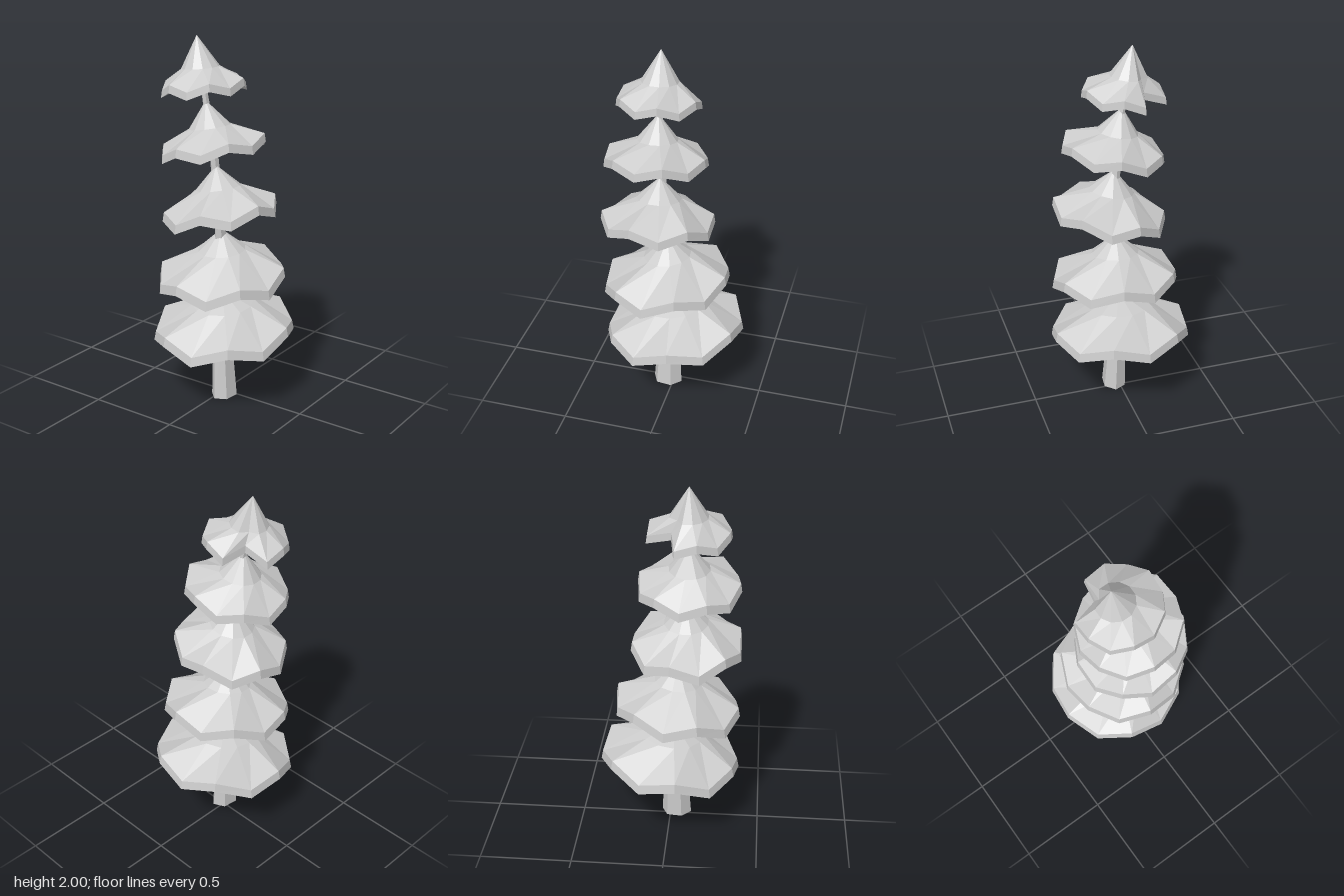
import * as THREE from 'three';

const V = (x, y, z) => new THREE.Vector3(x, y, z);

// Skins a list of rings (ordered top to bottom) with flat facets
function loft(name, rings) {
  const pos = [];
  const tri = (a, b, c) => {
    if (a.equals(b) || b.equals(c) || a.equals(c)) return; // collapsed at a tip
    for (const p of [a, b, c]) pos.push(p.x, p.y, p.z);
  };
  for (let r = 0; r + 1 < rings.length; r++) {
    const up = rings[r], low = rings[r + 1], n = up.length;
    for (let k = 0; k < n; k++) {
      const j = (k + 1) % n;
      tri(up[k], low[j], low[k]);
      tri(up[k], up[j], low[j]);
    }
  }
  const geo = new THREE.BufferGeometry();
  geo.setAttribute('position', new THREE.Float32BufferAttribute(pos, 3));
  geo.computeVertexNormals();
  const mesh = new THREE.Mesh(geo, new THREE.MeshStandardMaterial({ color: 0xcccccc, flatShading: true }));
  mesh.name = name;
  return mesh;
}

// n points from a rule taking the angle and index
const ring = (n, phase, rule) =>
  Array.from({ length: n }, (_, k) => rule(phase + (k / n) * Math.PI * 2, k));

// Tilted branch canopy: tip, shoulder ring, zigzag rim, thin lip, hollow underside
function canopy(name, t) {
  const n = 12, phase = THREE.MathUtils.degToRad(t.phase);
  const [cx, cz] = t.centre, [ax, ay, az] = t.tip;
  const tilt = (x, z) => t.tilt[0] * (x - cx) + t.tilt[1] * (z - cz);
  const rim = (scale, drop) => ring(n, phase, (a, k) => {
    const r = t.r * scale * (k === t.notch ? 0.53 : 1);
    const x = cx + r * Math.cos(a), z = cz + r * Math.sin(a);
    const wave = (k % 2 ? -1 : 1) * t.wave;
    return V(x, t.rimY - drop + tilt(x, z) + wave, z);
  });
  const shoulder = ring(n, phase, (a, k) => {
    const r = t.shoulder[0] * (k === t.notch ? 0.75 : 1);
    const x = (cx + ax) / 2 + r * Math.cos(a), z = (cz + az) / 2 + r * Math.sin(a);
    return V(x, t.shoulder[1] + tilt(x, z), z);
  });
  const point = (x, y, z) => ring(n, 0, () => V(x, y, z));
  return loft(name, [
    point(ax, ay, az), shoulder, rim(0.975, 0), rim(1, t.lip),
    point((cx + ax) / 2, t.rimY + 0.02, (cz + az) / 2),
  ]);
}

export function createModel() {
  const tree = new THREE.Group();
  tree.name = 'pineTree';

  // Bent six-sided trunk: [x, y, z, radius], top to bottom
  const path = [
    [-0.105, 1.82, -0.06, 0.016], [-0.1, 1.7, -0.05, 0.02], [-0.08, 1.4, -0.01, 0.027],
    [-0.06, 1.05, 0.015, 0.033], [-0.032, 0.66, 0.005, 0.045],
    [-0.03, 0.4, 0.008, 0.06], [-0.035, 0, 0.027, 0.084],
  ];
  const rings = path.map(([x, y, z, r]) =>
    ring(6, 0.15, (a) => V(x + r * Math.cos(a), y, z + 0.8 * r * Math.sin(a))));
  const cap = (p) => ring(6, 0, () => V(p[0], p[1], p[2]));
  tree.add(loft('trunk', [cap(path[0]), ...rings, cap(path[path.length - 1])]));

  // Canopies from the ground up
  const tiers = [
    { tip: [-0.02, 0.61, 0], centre: [0, 0], r: 0.387, phase: -8, rimY: 0.42, tilt: [0.11, 0],
      wave: -0.027, shoulder: [0.17, 0.54], lip: 0.05 },
    { tip: [-0.04, 0.97, 0.01], centre: [-0.04, 0.015], r: 0.347, phase: 9, rimY: 0.74, tilt: [0.1, 0],
      wave: 0.027, shoulder: [0.13, 0.86], lip: 0.05 },
    { tip: [-0.08, 1.33, 0.005], centre: [-0.085, 0.033], r: 0.305, phase: 14, rimY: 1.105, tilt: [0, 0.17],
      wave: -0.025, shoulder: [0.12, 1.215], lip: 0.048 },
    { tip: [-0.1, 1.67, -0.045], centre: [-0.1, 0.003], r: 0.276, phase: 8, rimY: 1.455, tilt: [0.01, 0.17],
      wave: 0.02, shoulder: [0.11, 1.54], lip: 0.045 },
    { tip: [-0.1, 2, -0.1], centre: [-0.1, -0.055], r: 0.222, phase: -13, rimY: 1.76, tilt: [0, 0.1],
      wave: -0.018, shoulder: [0.1, 1.84], lip: 0.04, notch: 11 },
  ];
  tiers.forEach((t, i) => tree.add(canopy('canopy' + (i + 1), t)));
  return tree;
}
